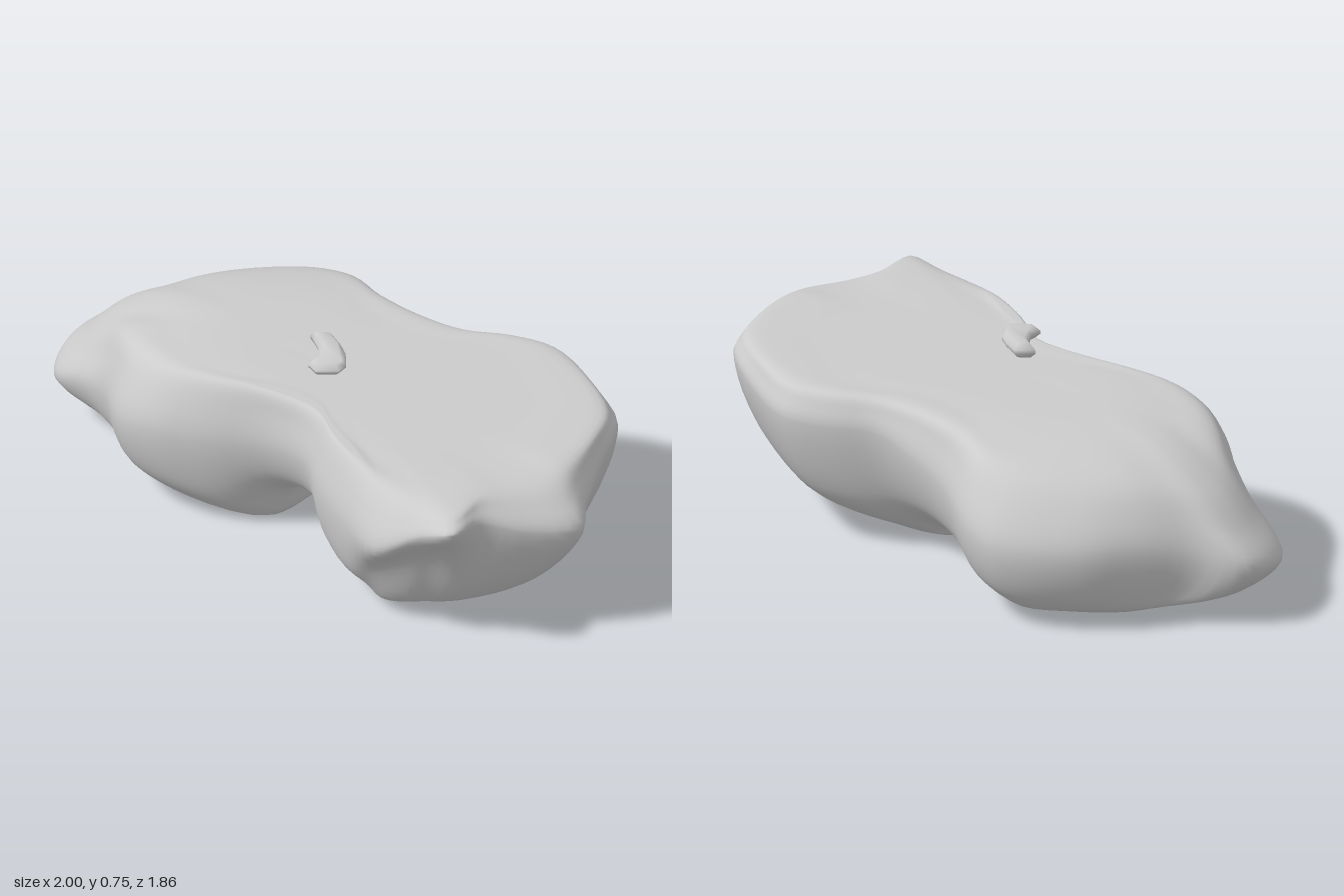
import * as THREE from 'three';
import { mergeVertices } from 'three/addons/utils/BufferGeometryUtils.js';

const material = new THREE.MeshStandardMaterial({ color: 0xcccccc });

// Matching stations run clockwise (seen from above) around three outlines: x, y, z
const RIM = [
  -.77, .5, -.53, -.76, .48, -.64, -.7, .49, -.7, -.58, .52, -.71, -.45, .54, -.74, -.28, .55, -.76,
  -.08, .56, -.75, .06, .58, -.67, .16, .6, -.52, .3, .61, -.38, .45, .61, -.29, .63, .61, -.25,
  .77, .61, -.18, .88, .615, 0, .95, .615, .22, .9, .615, .4, .81, .61, .55, .73, .6, .62,
  .6, .6, .68, .5, .61, .73, .4, .61, .84, .28, .6, .77, .16, .6, .67, .07, .615, .55,
  -.02, .62, .38, -.08, .62, .22, -.24, .62, .1, -.47, .605, 0, -.6, .595, -.08, -.69, .585, -.2,
  -.74, .565, -.32, -.76, .54, -.42,
];
const WIDEST = [
  -1, .2, -.61, -.965, .22, -.75, -.88, .25, -.83, -.7, .28, -.82, -.5, .33, -.88, -.28, .33, -.93,
  0, .33, -.89, .12, .35, -.78, .22, .4, -.55, .34, .45, -.42, .47, .5, -.33, .65, .5, -.29,
  .8, .5, -.22, .92, .51, -.02, 1, .54, .22, .94, .5, .4, .88, .46, .6, .86, .45, .73,
  .66, .48, .79, .5, .54, .82, .4, .57, .93, .28, .52, .87, .12, .41, .79, .02, .4, .62,
  -.08, .4, .4, -.12, .42, .26, -.27, .4, .14, -.5, .38, .07, -.66, .38, 0, -.78, .35, -.12,
  -.83, .32, -.32, -.9, .27, -.45,
];
const FOOT = [
  -.62, .05, -.55, -.62, .05, -.67, -.56, .05, -.74, -.5, .05, -.79, -.4, .05, -.81, -.26, .05, -.81,
  -.08, .05, -.78, 0, .05, -.65, .03, .06, -.45, .1, .07, -.28, .2, .05, -.18, .3, .03, -.15,
  .42, .03, -.09, .5, .03, .1, .54, .03, .26, .53, .03, .36, .5, .03, .46, .45, .04, .54,
  .4, .05, .59, .34, .06, .61, .28, .06, .61, .22, .06, .61, .15, .05, .57, .09, .05, .45,
  .04, .05, .27, -.01, .16, .11, -.14, .16, .03, -.3, .04, .02, -.5, .04, -.06, -.6, .04, -.18,
  -.64, .04, -.32, -.64, .05, -.44,
];

const toPoints = (a) => Array.from({ length: a.length / 3 }, (_, i) => new THREE.Vector3(a[3 * i], a[3 * i + 1], a[3 * i + 2]));
const loop = (points) => new THREE.CatmullRomCurve3(points, true, 'centripetal');

// Skin drawn down from the top centre, over the rim and sides, to the underside centre
function bodyGeometry(around = 128, down = 54) {
  const rim = toPoints(RIM), widest = toPoints(WIDEST), foot = toPoints(FOOT);
  const topCentre = new THREE.Vector3(-.02, .62, -.05), baseCentre = new THREE.Vector3(0, .1, -.1);

  // Shoulder between rim and widest line: rounded, but straight above the end lump
  const shoulder = rim.map((p, i) => {
    const lump = i < 3 || i > 30;
    const q = p.clone().lerp(widest[i], .57);
    q.y = p.y + (widest[i].y - p.y) * (lump ? .5 : .38);
    return q;
  });
  // Belly between widest line and foot: hollow under the front ridge, flatter at the front corner
  const belly = foot.map((p, i) => {
    const ridge = i >= 20 && i <= 22, corner = i >= 16 && i <= 19;
    const q = p.clone().lerp(widest[i], ridge ? .5 : corner ? .6 : .72);
    q.y = p.y + (widest[i].y - p.y) * (ridge ? .58 : .36);
    return q;
  });
  const innerRim = rim.map((p) => p.clone().lerp(topCentre, .28).setY(.612 + (p.y - .57) * .16));
  // Both lobes rest on the ground, with a raised valley between them at the waist
  const innerFoot = foot.map((p) => p.clone().lerp(baseCentre, .3).setY(p.y > .08 ? p.y : Math.max(.005, p.y - .035)));
  const loops = [innerRim, rim, shoulder, widest, belly, foot, innerFoot].map(loop);

  const positions = [], index = [];
  for (let i = 0; i < around; i++) {
    const ring = loops.map((c) => c.getPoint(i / around));
    const profile = new THREE.CatmullRomCurve3([topCentre, ...ring, baseCentre], false, 'centripetal');
    for (let j = 0; j <= down; j++) {
      const p = profile.getPoint(j / down);
      positions.push(p.x, THREE.MathUtils.clamp(p.y, 0, .622), p.z);
      if (j === down) continue;
      const a = i * (down + 1) + j, b = ((i + 1) % around) * (down + 1) + j;
      if (j > 0) index.push(a, b, a + 1);
      if (j < down - 1) index.push(b, b + 1, a + 1);
    }
  }
  const geometry = new THREE.BufferGeometry();
  geometry.setAttribute('position', new THREE.Float32BufferAttribute(positions, 3));
  geometry.setIndex(index);
  geometry.computeVertexNormals();
  return geometry;
}

// Small bent chip hovering above the top, smooth and thicker towards the back
function chipGeometry() {
  const outline = [[-.075, -.085], [-.028, -.085], [0, -.03], [.016, .02], [.016, .075], [-.004, .1],
    [-.07, .1], [-.085, .075], [-.058, .04], [-.05, -.02], [-.062, -.06]];
  const shape = new THREE.Shape(outline.map(([x, z]) => new THREE.Vector2(x, -z)));
  const extrusion = new THREE.ExtrudeGeometry(shape, {
    depth: .015, bevelEnabled: true, bevelThickness: .019, bevelSize: .015, bevelSegments: 1,
  });
  extrusion.rotateX(-Math.PI / 2).translate(0, .019, 0);
  extrusion.deleteAttribute('normal').deleteAttribute('uv');
  const geometry = mergeVertices(extrusion, 1e-4);
  const p = geometry.attributes.position;
  for (let i = 0; i < p.count; i++) {
    const thickness = THREE.MathUtils.mapLinear(p.getZ(i), -.1, .115, 1.05, .75);
    p.setY(i, .694 + p.getY(i) * thickness);
  }
  geometry.computeVertexNormals();
  return geometry;
}

export function createModel() {
  const group = new THREE.Group();
  const add = (name, geometry) => {
    const mesh = new THREE.Mesh(geometry, material);
    mesh.name = name;
    group.add(mesh);
  };
  add('rockBody', bodyGeometry());
  add('floatingChip', chipGeometry());
  return group;
}
